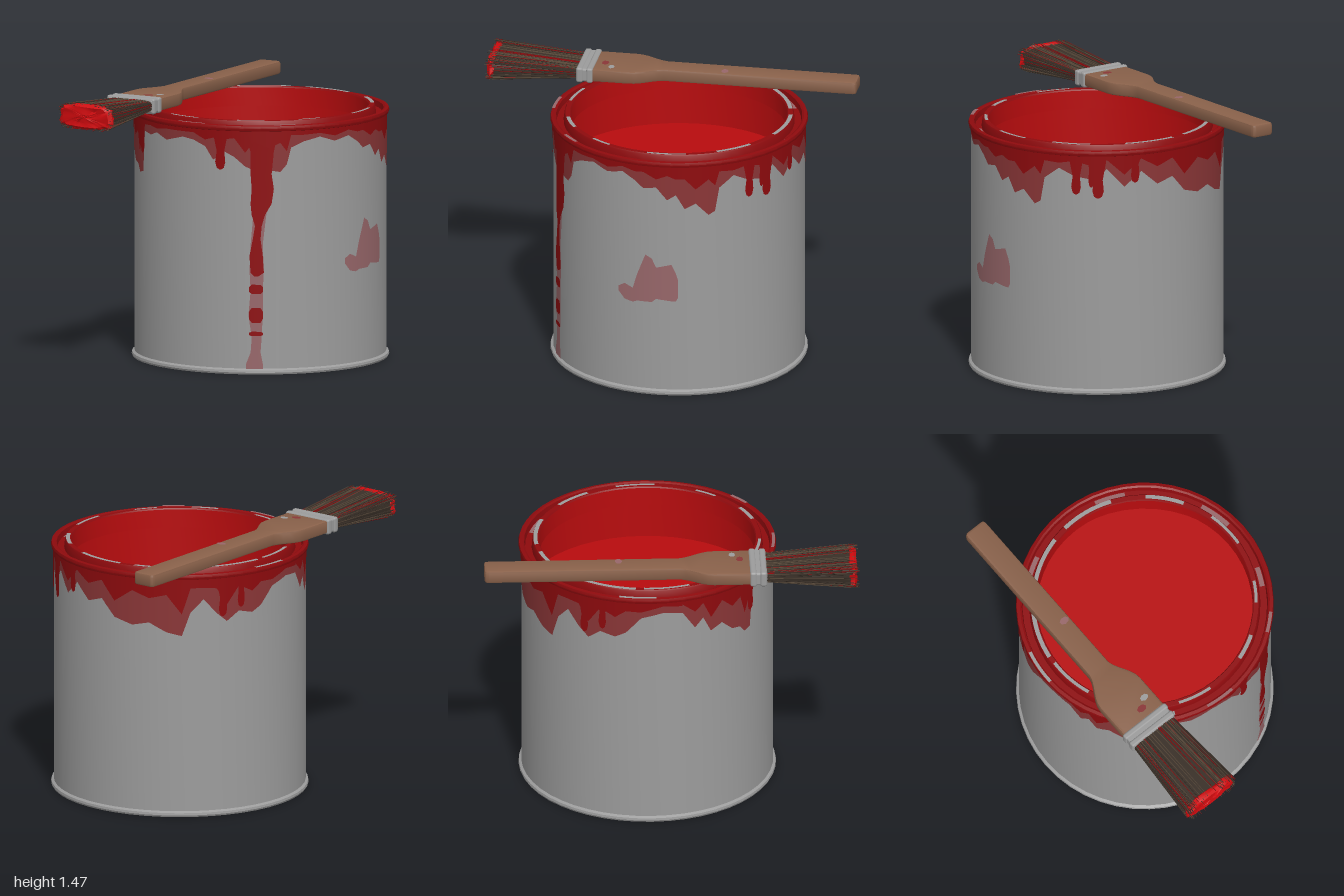
import * as THREE from 'three';
import { toCreasedNormals } from 'three/addons/utils/BufferGeometryUtils.js';
import { RoundedBoxGeometry } from 'three/addons/geometries/RoundedBoxGeometry.js';

const CZ = -0.115, R = 0.67, BX = -0.445, BY = 1.395;
const mat = (name, color) => Object.assign(new THREE.MeshStandardMaterial({ color }), { name });
const M = {
  metal: mat('metal', 0x9c9c9c), paint: mat('paint', 0xb80c0e), drip: mat('dried paint', 0x8e0a0d),
  smear: mat('smeared paint', 0x8a3637), pale: mat('thin paint', 0x98676a), wood: mat('wood', 0x89614a),
  bristle: mat('bristle', 0x3a3028), bristleLight: mat('light bristle', 0x5c4c3c), tip: mat('wet paint', 0xd00a0e),
};
let seed = 7;
const rnd = () => (seed = (seed * 16807) % 2147483647) / 2147483647;

function add(parent, name, geo, material, x = 0, y = 0, z = 0) {
  const m = new THREE.Mesh(geo, material);
  m.name = name;
  m.position.set(x, y, z);
  parent.add(m);
  return m;
}

const lathe = (pts) => toCreasedNormals(
  new THREE.LatheGeometry(pts.map(p => new THREE.Vector2(...p)), 48), 0.6);

// Thin skin on the can wall between two curves of [degrees, height]
function skin(lower, upper, r) {
  const pos = [], nor = [], idx = [];
  lower.forEach((l, i) => {
    for (const [deg, y] of [l, upper[i]]) {
      const a = THREE.MathUtils.degToRad(deg);
      pos.push(r * Math.sin(a), y, r * Math.cos(a));
      nor.push(Math.sin(a), 0, Math.cos(a));
    }
    if (i) { const k = 2 * i; idx.push(k - 2, k, k - 1, k, k + 1, k - 1); }
  });
  const g = new THREE.BufferGeometry();
  g.setAttribute('position', new THREE.Float32BufferAttribute(pos, 3));
  g.setAttribute('normal', new THREE.Float32BufferAttribute(nor, 3));
  g.setIndex(idx);
  return g;
}

// Columns [degrees, low, high], filled in every few degrees
function band(cols, r) {
  const lo = [], hi = [];
  cols.forEach((c, i) => {
    const n = cols[i + 1], steps = n ? Math.ceil((n[0] - c[0]) / 3) : 1;
    for (let s = 0; s < steps; s++) {
      const [d, a, b] = c.map((v, k) => n ? v + (n[k] - v) * s / steps : v);
      lo.push([d, a]);
      hi.push([d, b]);
    }
  });
  return skin(lo, hi, r);
}

// Rows [height, left degrees, right degrees], from top to bottom
const run = (rows, r) => skin(rows.map(([y, a]) => [a, y]), rows.map(([y, , b]) => [b, y]), r);

// Closed loft along z through rounded sections [z, halfWidth, halfHeight]
function loft(sections, n, power, jitter) {
  const pos = [], idx = [];
  for (const [z, w, h] of sections) for (let i = 0; i < n; i++) {
    const a = i / n * Math.PI * 2, c = Math.cos(a), s = Math.sin(a), j = 1 + (rnd() - 0.5) * jitter;
    pos.push(w * j * Math.sign(c) * Math.abs(c) ** power, h * j * Math.sign(s) * Math.abs(s) ** power,
      z + (rnd() - 0.5) * jitter * 0.06);
  }
  for (let k = 0; k < sections.length - 1; k++) for (let i = 0; i < n; i++) {
    const a = k * n + i, b = k * n + (i + 1) % n;
    idx.push(a, b, a + n, b, b + n, a + n);
  }
  const g = new THREE.BufferGeometry();
  g.setAttribute('position', new THREE.Float32BufferAttribute(pos, 3));
  g.setIndex(idx);
  return toCreasedNormals(g, 0.7);
}

function buildCan() {
  const can = new THREE.Group();
  can.name = 'paintCan';
  can.position.z = CZ;
  add(can, 'canBody', lathe([[0, 0.008], [0.66, 0.008], [0.665, 0], [0.68, 0.002], [0.685, 0.012],
    [0.683, 0.024], [R, 0.032], [R, 1.32]]), M.metal);
  add(can, 'canRim', lathe([[R, 1.308], [0.682, 1.312], [0.686, 1.325], [0.682, 1.338], [0.665, 1.341],
    [0.655, 1.335], [0.65, 1.305], [0.615, 1.305], [0.61, 1.348], [0.605, 1.355], [0.58, 1.355],
    [0.575, 1.348]]), M.drip);
  add(can, 'innerWall', lathe([[0.575, 1.348], [0.575, 1.25], [0.65, 1.24], [0.65, 1.0]]), M.paint);
  add(can, 'paintSurface', new THREE.CircleGeometry(0.65, 48).rotateX(-Math.PI / 2), M.paint, 0, 1.02);

  // Bare metal and thin paint showing on the rim: [from, to, inner, outer, height, material]
  const chips = [
    [158, 186, 0.584, 0.606, 1.357, M.metal], [194, 222, 0.582, 0.604, 1.357, M.metal],
    [226, 262, 0.584, 0.607, 1.357, M.metal], [266, 290, 0.582, 0.6, 1.357, M.metal],
    [120, 140, 0.584, 0.605, 1.357, M.metal], [84, 104, 0.59, 0.606, 1.357, M.metal],
    [50, 62, 0.584, 0.6, 1.357, M.metal], [18, 32, 0.585, 0.606, 1.357, M.metal],
    [-22, -4, 0.59, 0.606, 1.357, M.metal], [-60, -42, 0.584, 0.604, 1.357, M.metal],
    [255, 272, 0.662, 0.68, 1.343, M.metal], [36, 46, 0.662, 0.68, 1.343, M.pale],
    [205, 222, 0.62, 0.645, 1.307, M.pale], [150, 165, 0.62, 0.645, 1.307, M.pale],
    [96, 112, 0.62, 0.646, 1.307, M.pale], [-40, -25, 0.62, 0.646, 1.307, M.metal],
    [60, 70, 0.62, 0.646, 1.307, M.pale], [-10, 4, 0.664, 0.68, 1.343, M.pale],
  ];
  const rad = THREE.MathUtils.degToRad;
  for (const [a, b, r0, r1, y, m] of chips)
    add(can, 'rimChip', new THREE.RingGeometry(r0, r1, 10, 1, rad(a - 90), rad(b - a)).rotateX(-Math.PI / 2), m, 0, y);

  // Ragged spill below the rim: [degrees, lower edge]
  const spill = [[-76, 1.24], [-70, 1.14], [-66, 1.19], [-62, 1.1], [-56, 1.13], [-50, 1.07], [-45, 1.06], [-42, 1.02],
    [-38, 1.03], [-36, 1.25], [-30, 1.24], [-25, 1.26], [-18, 1.23], [-8, 1.26], [-2, 1.25], [4, 1.22], [8, 1.15],
    [13, 1.2], [18, 1.17], [23, 1.12], [27, 1.1], [34, 1.1], [39, 1.09], [42, 1.13], [44, 1.22], [50, 1.25],
    [58, 1.27], [66, 1.24], [74, 1.26], [80, 1.22], [84, 1.18], [90, 1.19], [95, 1.12], [99, 1.15], [103, 1.07],
    [108, 1.1], [114, 1.03], [117, 1.05], [119, 1.18], [126, 1.24], [133, 1.2], [142, 1.18], [148, 1.24], [156, 1.14],
    [164, 1.22], [172, 1.14], [180, 1.17], [187, 1.08], [196, 1.05], [204, 1.07], [212, 1.02], [219, 1.0],
    [223, 1.13], [229, 1.2], [235, 1.12], [240, 1.07], [246, 1.12], [253, 1.1], [258, 1.13], [265, 1.22],
    [275, 1.25], [284, 1.24]];
  add(can, 'spill', band(spill.map(([d, y]) => [d, y, 1.315]), R + 0.002), M.smear);
  const thick = spill.map(([d, y], i) => [d, Math.min(1.29, 1.315 - (1.315 - y) * [0.28, 0.45, 0.3, 0.62][i % 4]), 1.315]);
  add(can, 'thickSpill', band(thick, R + 0.004), M.drip);

  // Short thick drips: [centre, half width, lowest point]
  for (const [c, w, y] of [[11.5, 2.4, 1.1], [-38, 2, 1.13], [134, 2.2, 1.1], [144, 2.6, 1.08], [141, 1.4, 1.14],
    [238, 2, 1.1], [247, 1.8, 1.14], [219, 1.6, 1.15], [161, 2, 1.16]])
    add(can, 'shortDrip', run([[1.315, c - w * 1.6, c + w * 1.6], [y + 0.1, c - w * 0.7, c + w * 0.8], [y + 0.04, c - w, c + w],
      [y + 0.01, c - w * 0.7, c + w * 0.7], [y, c - w * 0.2, c + w * 0.2]], R + 0.006), M.drip);

  // Long run down the front
  add(can, 'longRunThin', run([[0.9, 27, 33], [0.7, 25.5, 31], [0.56, 25, 31.5], [0.45, 25.5, 31], [0.32, 24.5, 31],
    [0.2, 26, 30.5], [0.12, 25.5, 30], [0.06, 23.5, 31], [0.02, 23.5, 31]], R + 0.003), M.pale);
  add(can, 'longRun', run([[1.315, 22, 38], [1.2, 25.5, 36], [1.08, 25.5, 35], [1.0, 26, 36], [0.92, 25.5, 35],
    [0.86, 26, 32], [0.8, 27.5, 30.5], [0.73, 26.5, 30], [0.64, 25, 31], [0.55, 25.5, 31.5], [0.53, 27, 29]], R + 0.006), M.drip);
  for (const [y, h] of [[0.46, 0.025], [0.32, 0.04], [0.22, 0.012]])
    add(can, 'runBlob', run([[y + h, 26, 30], [y + h * 0.5, 24.8, 31], [y - h * 0.5, 24.8, 31], [y - h, 26, 30]], R + 0.006), M.drip);

  add(can, 'sideSplash', band([[72, 0.57, 0.6], [75, 0.53, 0.62], [79, 0.52, 0.6], [81, 0.53, 0.68], [85, 0.53, 0.8],
    [88, 0.53, 0.78], [90, 0.55, 0.73], [97, 0.54, 0.75], [99, 0.54, 0.7], [100, 0.56, 0.66]], R + 0.003), M.pale);
  return can;
}

function buildBrush() {
  const brush = new THREE.Group();
  brush.name = 'paintBrush';
  brush.position.set(BX, BY, 0);

  // Handle outline drawn in x and z, widening towards the ferrule
  const s = new THREE.Shape();
  s.moveTo(-0.045, -1);
  s.lineTo(0.045, -1);
  s.quadraticCurveTo(0.065, -1, 0.065, -0.975);
  s.lineTo(0.065, 0.04);
  s.bezierCurveTo(0.075, 0.1, 0.138, 0.15, 0.138, 0.22);
  s.lineTo(0.138, 0.42);
  s.lineTo(-0.138, 0.42);
  s.lineTo(-0.138, 0.22);
  s.bezierCurveTo(-0.138, 0.15, -0.075, 0.1, -0.065, 0.04);
  s.lineTo(-0.065, -0.975);
  s.quadraticCurveTo(-0.065, -1, -0.045, -1);
  const handle = new THREE.ExtrudeGeometry(s, { depth: 0.046, bevelThickness: 0.012, bevelSize: 0.012,
    bevelOffset: -0.012, bevelSegments: 2, curveSegments: 6 });
  add(brush, 'handle', toCreasedNormals(handle.rotateX(Math.PI / 2), 0.5), M.wood, 0, 0.023, 0);
  for (const [x, z, r, m] of [[0.03, -0.285, 0.028, M.pale], [0.03, 0.36, 0.028, M.smear], [0.08, 0.32, 0.025, M.metal]])
    add(brush, 'handleStain', new THREE.CircleGeometry(r, 7).rotateX(-Math.PI / 2), m, x, 0.037, z).scale.z = 0.7;

  // Ferrule with two raised bands
  add(brush, 'ferrule', new RoundedBoxGeometry(0.28, 0.074, 0.095, 2, 0.012), M.metal, 0, 0, 0.455);
  for (const z of [0.428, 0.482])
    add(brush, 'ferruleBand', new RoundedBoxGeometry(0.292, 0.084, 0.036, 2, 0.012), M.metal, 0, 0, z);

  // Bristle core, loose bristles and paint-soaked tip
  add(brush, 'bristleCore', loft([[0.49, 0.13, 0.028], [0.6, 0.132, 0.034], [0.75, 0.138, 0.045], [0.95, 0.148, 0.058]],
    24, 0.5, 0.06), M.bristle);
  const up = new THREE.Vector3(0, 1, 0);
  for (let i = 0; i < 260; i++) {
    const a = rnd() * Math.PI * 2, c = Math.cos(a), q = Math.sin(a);
    const u = Math.sign(c) * Math.abs(c) ** 0.45, v = Math.sign(q) * Math.abs(q) ** 0.45;
    const from = new THREE.Vector3(u * 0.131, v * 0.03, 0.49);
    const to = new THREE.Vector3(u * 0.155 + (rnd() - 0.5) * 0.02, v * 0.066 + (rnd() - 0.5) * 0.014, 0.94 + rnd() * 0.055);
    const dir = to.clone().sub(from), mid = from.clone().add(to).multiplyScalar(0.5);
    const m = i % 5 === 0 ? M.drip : i % 3 === 0 ? M.bristleLight : M.bristle;
    const b = add(brush, 'bristle', new THREE.CylinderGeometry(0.0015, 0.003, dir.length(), 4), m, mid.x, mid.y, mid.z);
    b.quaternion.setFromUnitVectors(up, dir.normalize());
  }
  add(brush, 'wetTip', loft([[0.935, 0.14, 0.052], [0.945, 0.155, 0.064], [0.965, 0.158, 0.066], [0.98, 0.14, 0.054],
    [0.975, 0.09, 0.032], [0.982, 0.04, 0.012], [0.978, 0.001, 0.001]], 28, 0.55, 0.12), M.tip);
  return brush;
}

export function createModel() {
  const model = new THREE.Group();
  model.name = 'paintCanWithBrush';
  model.add(buildCan(), buildBrush());
  return model;
}
